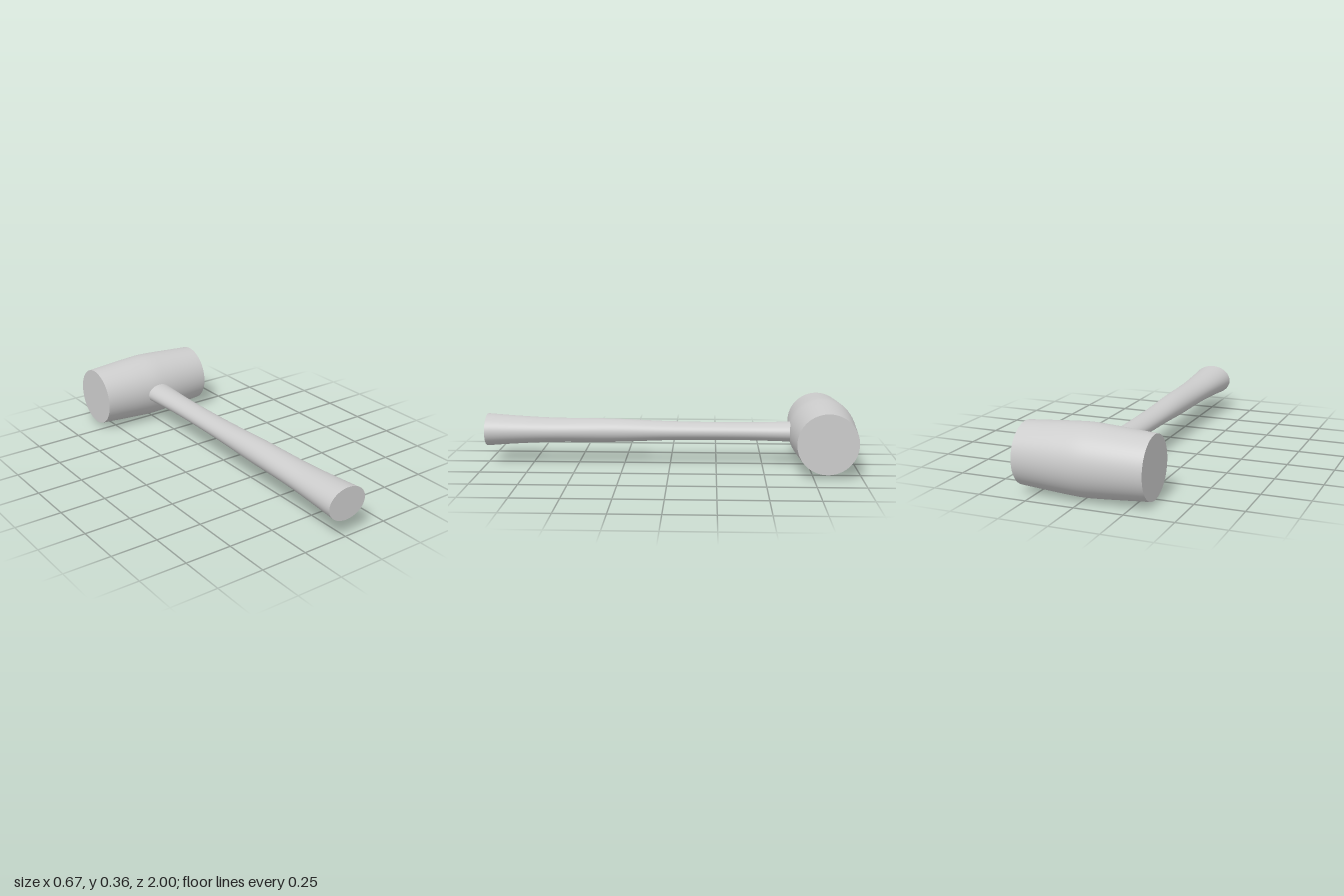
import * as THREE from 'three';
import { mergeVertices } from 'three/addons/utils/BufferGeometryUtils.js';

const SEGMENTS = 64;
const AXIS_Y = 0.181;
const HEAD_Z = -0.82;

// Smooth open barrel along +y; each station is [y, radius across x, radius across z]
function barrel(stations) {
  const curve = new THREE.CatmullRomCurve3(stations.map(([y, rx, rz]) => new THREE.Vector3(rx, y, rz)));
  const rings = curve.getPoints(40);
  const lathe = new THREE.LatheGeometry(rings.map((p) => new THREE.Vector2(1, p.y)), SEGMENTS);
  const pos = lathe.attributes.position;
  for (let i = 0; i < pos.count; i++) {
    const ring = rings[i % rings.length];
    pos.setX(i, pos.getX(i) * ring.x);
    pos.setZ(i, pos.getZ(i) * ring.z);
  }
  // Weld the seam so the shading stays continuous
  lathe.deleteAttribute('uv');
  lathe.deleteAttribute('normal');
  const geometry = mergeVertices(lathe);
  geometry.computeVertexNormals();
  return geometry;
}

export function createModel() {
  const model = new THREE.Group();
  model.name = 'mallet';
  const grey = new THREE.MeshStandardMaterial({ color: 0xcccccc });
  grey.name = 'light grey';

  const add = (parent, name, geometry) => {
    const mesh = new THREE.Mesh(geometry, grey);
    mesh.name = name;
    parent.add(mesh);
    return mesh;
  };

  // Head: bulging barrel lying along x, with flat striking faces
  const head = new THREE.Group();
  head.name = 'head';
  head.position.set(0, AXIS_Y, HEAD_Z);
  model.add(head);
  const half = [[0.333, 0.159], [0.2, 0.1685], [0.1, 0.1755]];
  const profile = [
    ...half.map(([x, r]) => [-x, r, r]),
    [0, 0.18, 0.18],
    ...half.map(([x, r]) => [x, r, r]).reverse(),
  ];
  add(head, 'headBarrel', barrel(profile).rotateZ(-Math.PI / 2));
  for (const side of [-1, 1]) {
    const face = add(head, side > 0 ? 'leftStrikingFace' : 'rightStrikingFace',
      new THREE.CircleGeometry(0.159, SEGMENTS));
    face.position.x = side * 0.333;
    face.rotation.y = side * Math.PI / 2;
  }

  // Handle: oval section, narrow in the middle and flared at the grip end
  const handle = new THREE.Group();
  handle.name = 'handle';
  handle.position.y = AXIS_Y;
  model.add(handle);
  add(handle, 'handleShaft', barrel([
    [-0.72, 0.079, 0.055],
    [-0.64, 0.076, 0.053],
    [-0.4, 0.066, 0.048],
    [0, 0.069, 0.051],
    [0.3, 0.077, 0.063],
    [0.65, 0.089, 0.066],
    [0.85, 0.102, 0.076],
    [1, 0.113, 0.087],
  ]).rotateX(Math.PI / 2));
  const butt = add(handle, 'handleButt', new THREE.CircleGeometry(1, SEGMENTS).scale(0.113, 0.087, 1));
  butt.position.z = 1;

  return model;
}
